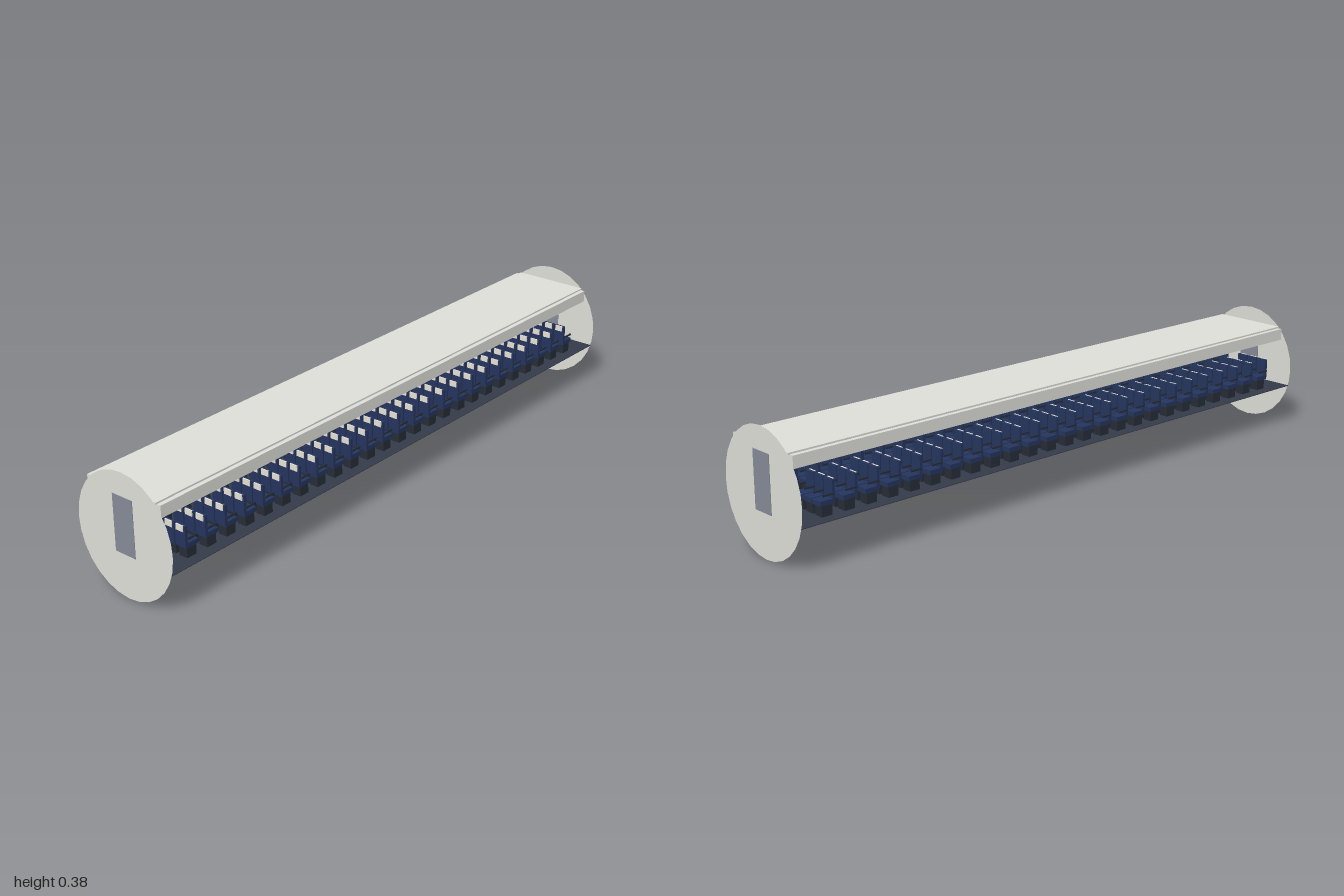
import * as THREE from 'three';

const mat = (name, color, side = THREE.FrontSide) => {
  const m = new THREE.MeshStandardMaterial({ color, side });
  m.name = name;
  return m;
};

export function createModel() {
  const panel = mat('warm white panel', 0xe0e0da, THREE.DoubleSide);
  const carpet = mat('dark carpet', 0x343b49);
  const doorGrey = mat('door grey', 0x868c98);
  const navy = mat('navy fabric', 0x25355f);
  const frame = mat('dark frame', 0x262c37);
  const linen = mat('linen cover', 0xeeeadd);

  const cabin = new THREE.Group();
  cabin.name = 'cabin';
  const box = (parent, name, material, w, h, d, x, y, z) => {
    const mesh = new THREE.Mesh(new THREE.BoxGeometry(w, h, d), material);
    mesh.name = name;
    mesh.position.set(x, y, z);
    parent.add(mesh);
    return mesh;
  };

  const FLOOR = 0.136, END = 0.9985;

  // Floor, ceiling and overhead bins
  box(cabin, 'floor', carpet, 0.347, 0.002, 1.996, 0, FLOOR - 0.001, 0);
  box(cabin, 'ceiling', panel, 0.25, 0.006, 1.994, 0, 0.329, 0);
  for (const s of [-1, 1]) {
    box(cabin, 'overheadBin', panel, 0.06, 0.037, 1.986, s * 0.109, 0.3085, 0);

    // End bulkhead with its door
    const bulkhead = new THREE.Mesh(new THREE.CircleGeometry(1, 28), panel);
    bulkhead.name = 'bulkhead';
    bulkhead.scale.set(0.18, 0.19, 1);
    bulkhead.position.set(0, 0.19, s * END);
    cabin.add(bulkhead);
    box(cabin, 'door', doorGrey, 0.075, 0.173, 0.003, 0, 0.2215, s * END);
  }

  // One bank of three seats, from the aisle outwards
  const PITCH = 0.041;
  const makeBank = () => {
    const bank = new THREE.Group();
    bank.name = 'seatBank';
    for (let i = 0; i < 3; i++) {
      const x = 0.043 + i * PITCH;
      box(bank, 'seatBase', frame, 0.03, 0.032, 0.034, x, FLOOR + 0.016, 0);
      box(bank, 'seatCushion', navy, 0.037, 0.014, 0.046, x, 0.175, 0);
      box(bank, 'backrest', navy, 0.037, 0.061, 0.009, x, 0.2045, 0.0205);
      box(bank, 'headrestCover', linen, 0.026, 0.018, 0.004, x, 0.227, 0.0255);
    }
    for (let i = 0; i < 4; i++)
      box(bank, 'armrest', frame, 0.004, 0.005, 0.038, 0.0225 + i * PITCH, 0.197, 0.002);
    return bank;
  };

  // Rows of seats, mirrored across the aisle by sliding the same bank over
  for (let row = 0; row < 25; row++) {
    for (const offset of [-0.168, 0]) {
      const bank = makeBank();
      bank.position.set(offset, 0, 0.893 - row * 0.0744);
      cabin.add(bank);
    }
  }
  return cabin;
}
